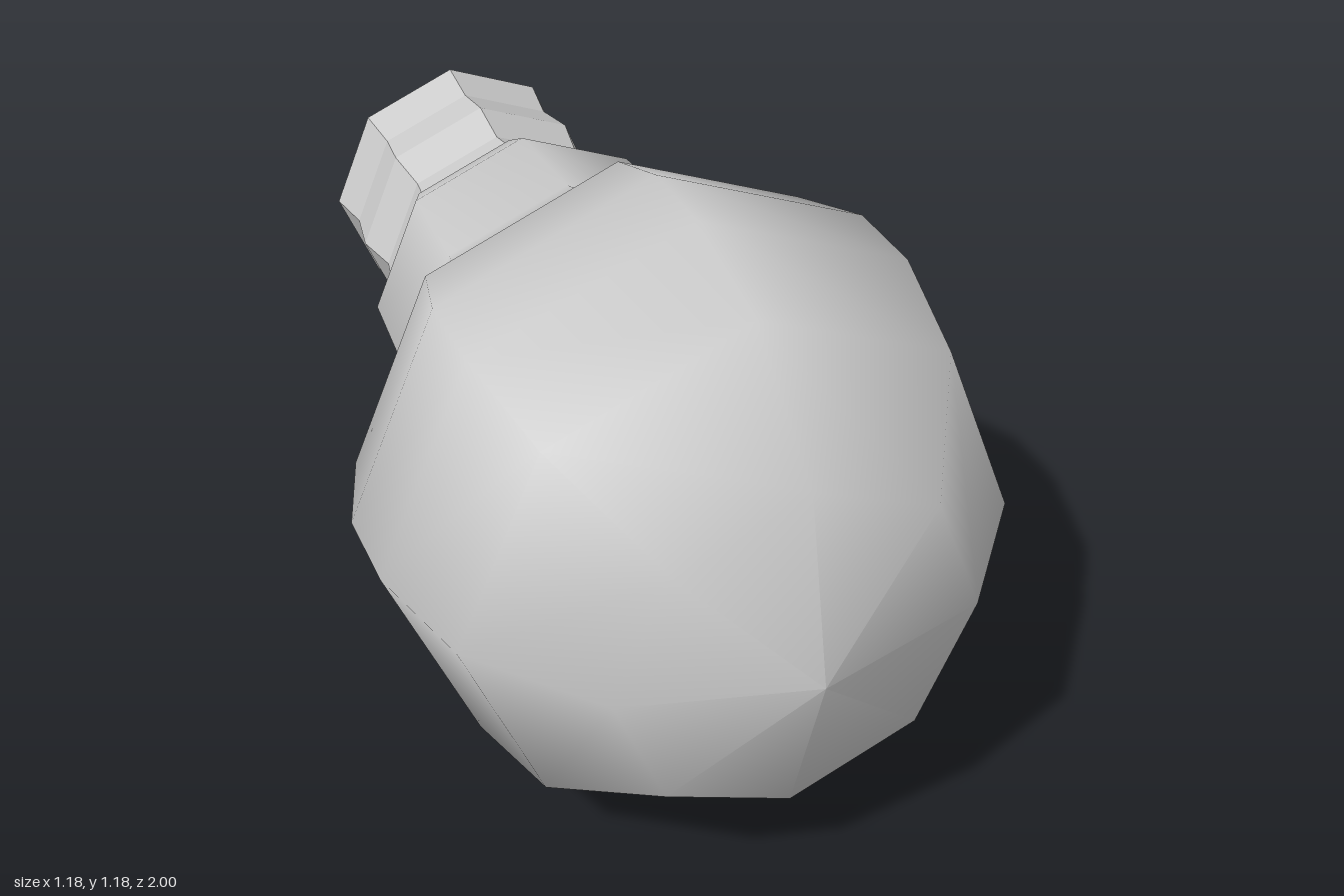
import * as THREE from 'three';

const SIDES = 8;
const AXIS_HEIGHT = 0.59;

// Revolve [z, radius] pairs, ordered from back to front, about the z axis
function revolve(name, profile, flatShading) {
  const points = profile.map(([z, r]) => new THREE.Vector2(r, z));
  const geometry = new THREE.LatheGeometry(points, SIDES);
  geometry.rotateX(Math.PI / 2);
  const material = new THREE.MeshStandardMaterial({ color: 0xcccccc, flatShading });
  const mesh = new THREE.Mesh(geometry, material);
  mesh.name = name;
  return mesh;
}

export function createModel() {
  const bulb = new THREE.Group();
  bulb.name = 'lightBulb';
  bulb.position.y = AXIS_HEIGHT;

  // Smooth glass envelope: neck, shoulder and round front
  bulb.add(revolve('glass', [
    [-0.46, 0.285], [-0.38, 0.33], [-0.13, 0.35], [-0.06, 0.375], [0.12, 0.53],
    [0.29, 0.59], [0.46, 0.59], [0.69, 0.53], [0.91, 0.34], [1, 0],
  ], false));

  // Small step closing the neck around the screw base
  bulb.add(revolve('neckRim', [[-0.46, 0.2], [-0.46, 0.285]], true));

  // Faceted screw base with two shallow grooves
  bulb.add(revolve('screwBase', [
    [-0.835, 0.277], [-0.735, 0.26], [-0.635, 0.277], [-0.535, 0.256], [-0.46, 0.272],
  ], true));

  // Faceted insulator tapering to the contact
  bulb.add(revolve('insulator', [[-0.955, 0.14], [-0.835, 0.277]], true));

  // Contact tip with a flat end
  bulb.add(revolve('contactTip', [[-1, 0.05], [-0.955, 0.14]], false));
  bulb.add(revolve('contactEnd', [[-1, 0], [-1, 0.05]], true));

  const model = new THREE.Group();
  model.add(bulb);
  return model;
}
